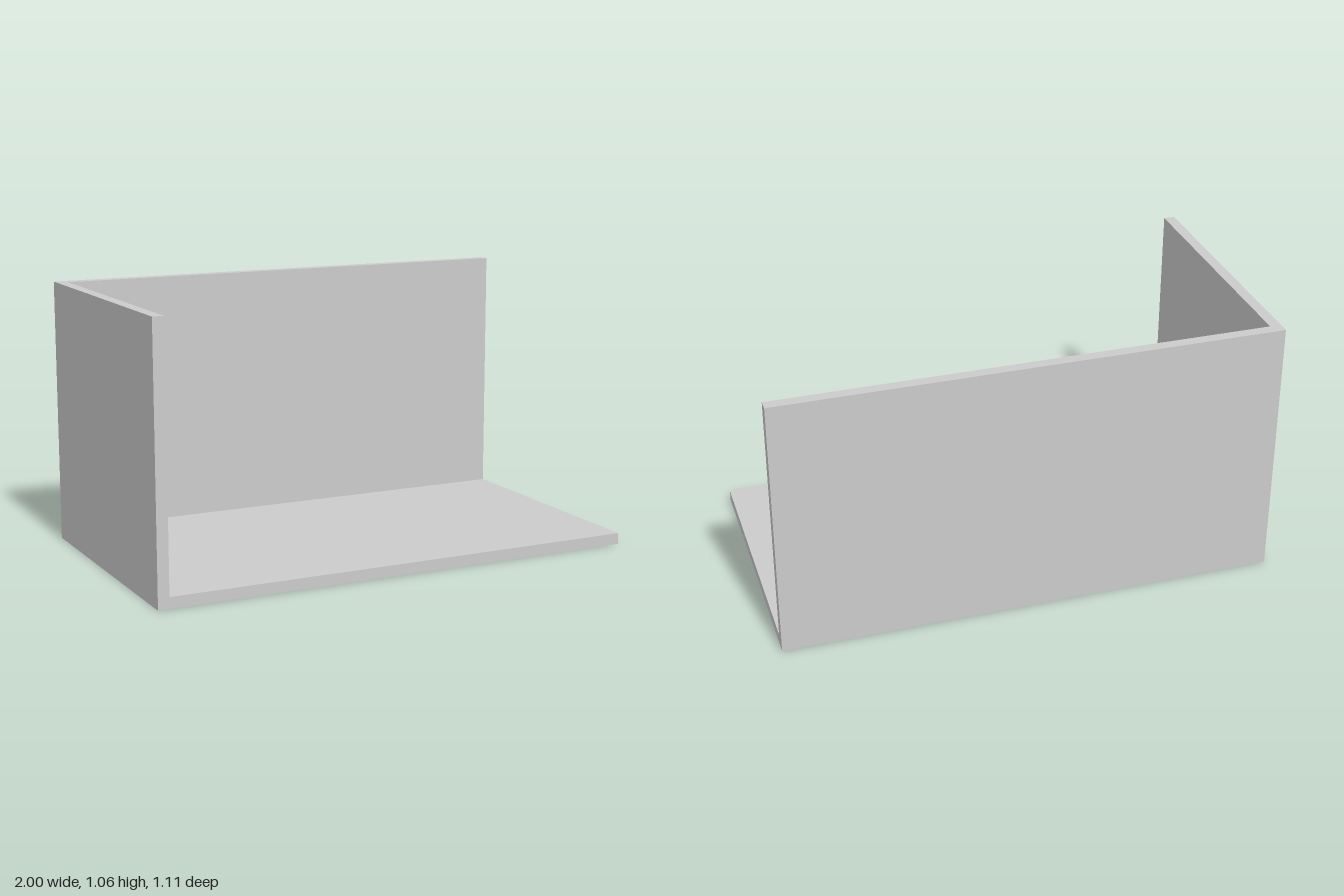
import * as THREE from 'three';

// Overall size and panel thickness
const W = 2, H = 1.064, D = 1.107, T = 0.045;

export function createModel() {
  const group = new THREE.Group();
  group.name = 'cornerShell';
  const material = new THREE.MeshStandardMaterial({ color: 0xcccccc, flatShading: true });

  // A panel given by its lowest corner and its size
  const panel = (name, [x, y, z], [w, h, d]) => {
    const mesh = new THREE.Mesh(new THREE.BoxGeometry(w, h, d), material);
    mesh.name = name;
    mesh.position.set(x + w / 2, y + h / 2, z + d / 2);
    group.add(mesh);
  };

  // Floor slab, with the two walls standing on it and butted at the corner
  panel('floor', [-W / 2, 0, -D / 2], [W, T, D]);
  panel('backWall', [-W / 2, T, -D / 2], [W, H - T, T]);
  panel('rightWall', [-W / 2, T, -D / 2 + T], [T, H - T, D - T]);

  return group;
}
